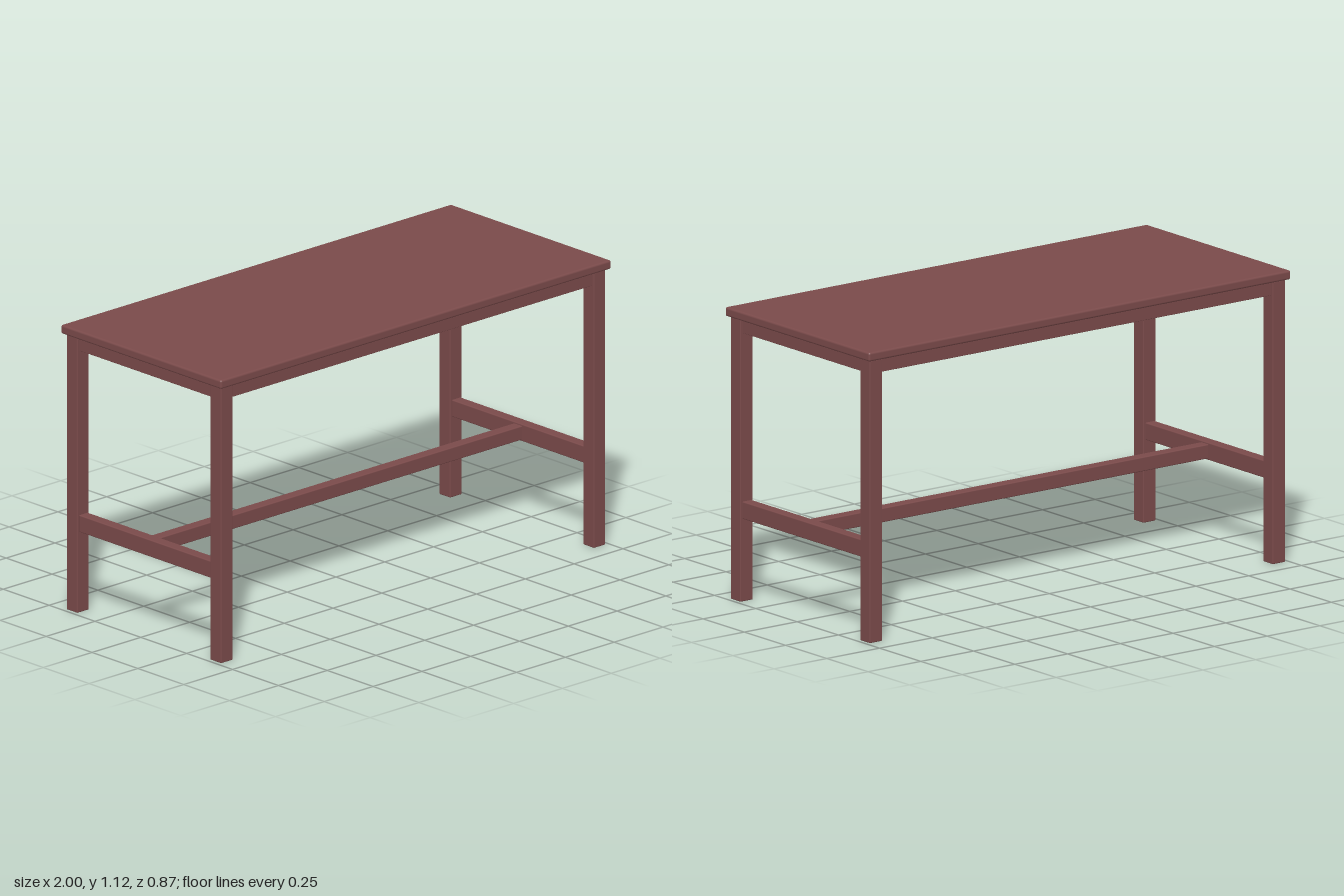
import * as THREE from 'three';
import { RoundedBoxGeometry } from 'three/addons/geometries/RoundedBoxGeometry.js';

export function createModel() {
  const table = new THREE.Group();
  table.name = 'table';
  const wood = new THREE.MeshStandardMaterial({ color: 0x7a4a4a });

  // Softly rounded board, placed by its centre
  function board(name, w, h, d, x, y, z, radius = 0.004) {
    const mesh = new THREE.Mesh(new RoundedBoxGeometry(w, h, d, 3, radius), wood);
    mesh.name = name;
    mesh.position.set(x, y, z);
    table.add(mesh);
  }

  const legX = 0.955, legZ = 0.392, legSize = 0.06;
  const topBottom = 1.09;
  const innerX = 2 * legX - legSize, innerZ = 2 * legZ - legSize;

  // Table top
  board('tableTop', 2, 0.035, 0.874, 0, topBottom + 0.0175, 0, 0.008);

  // Legs
  for (const sx of [-1, 1])
    for (const sz of [-1, 1])
      board('leg', legSize, topBottom, legSize, sx * legX, topBottom / 2, sz * legZ);

  // Aprons under the top, and the end stretchers
  for (const s of [-1, 1]) {
    board('longApron', innerX, 0.055, 0.04, 0, 1.0625, s * legZ, 0.002);
    board('endApron', 0.04, 0.055, innerZ, s * legX, 1.0625, 0, 0.002);
    board('endStretcher', 0.045, 0.067, innerZ, s * legX, 0.353, 0);
  }

  // Long stretcher between the end stretchers
  board('longStretcher', 2 * legX - 0.04, 0.055, 0.045, 0, 0.353, 0);

  // Small fixing pegs inside the long aprons
  for (const x of [-0.89, 0, 0.89])
    for (const sz of [-1, 1]) {
      const peg = new THREE.Mesh(new THREE.CylinderGeometry(0.012, 0.011, 0.062, 16), wood);
      peg.name = 'fixingPeg';
      peg.position.set(x, 1.059, sz * 0.325);
      table.add(peg);
    }

  return table;
}
